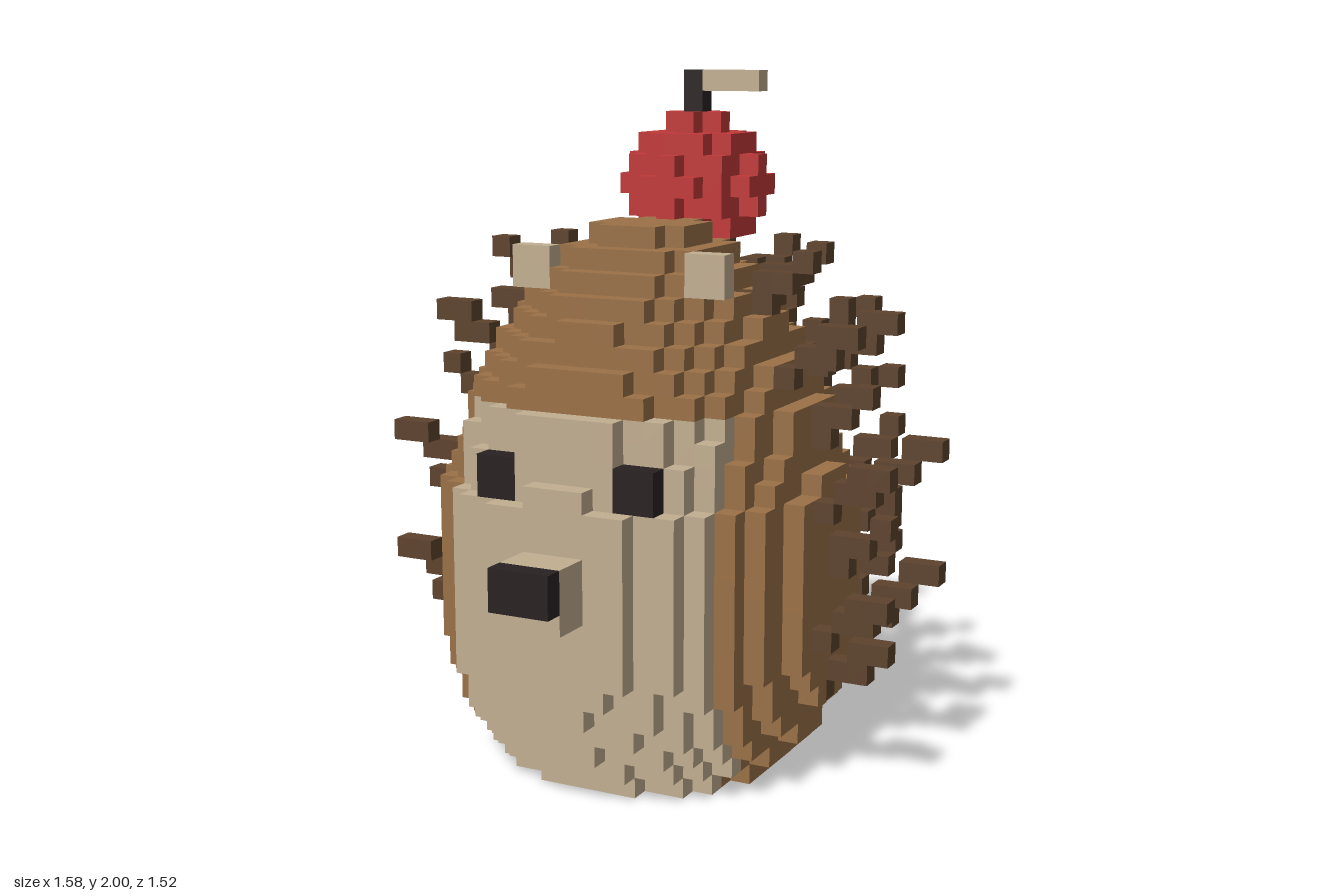
import * as THREE from 'three';

const S = 2 / 33; // cube size
const mat = (name, color) => Object.assign(new THREE.MeshStandardMaterial({ color }), { name });

export function createModel() {
  const brown = mat('fur brown', 0x9b7147);
  const cream = mat('cream', 0xc2af91);
  const dark = mat('spike brown', 0x5e432e);
  const red = mat('cherry red', 0xc23838);
  const black = mat('black', 0x292122);
  const materials = {
    body: brown, face: cream, muzzle: cream, ears: cream, nose: black, eyes: black,
    spikes: dark, cherry: red, stem: black, stemTip: cream,
  };

  // cubes are addressed by whole steps from the body's axis: x, row, z
  const cubes = new Map();
  const key = (x, y, z) => `${x},${y},${z}`;
  const put = (part, x, y, z) => cubes.set(key(x, y, z), { part, at: [x, y, z] });
  const fill = (part, x0, x1, y0, y1, z0, z1) => {
    for (let x = x0; x <= x1; x++)
      for (let y = y0; y <= y1; y++)
        for (let z = z0; z <= z1; z++) put(part, x, y, z);
  };

  // egg-shaped body, radius of each row from the ground up
  const radii = [6.5, 7.4, 8.2, 8.8, 9.1, 9.3, 9.5, 9.5, 9.5, 9.5, 9.5, 9.5, 9.5,
    9.5, 9.1, 8.9, 8.5, 8.3, 7.9, 7.4, 6.9, 6.3, 5.6, 4.8, 3.7, 2.4];

  // spikes: seven staggered rings round the back, each spike a stair rising outward;
  // the odd rings reach a little further forward and sit half a cube to the left
  for (let ring = 0; ring < 7; ring++) {
    const base = 4 + ring * 3, odd = ring % 2;
    const count = 7 + odd, start = odd ? -12 : 0;
    for (let k = 0; k < count; k++) {
      const a = THREE.MathUtils.degToRad(start + k * (180 - 2 * start) / (count - 1));
      for (let t = 0; t <= 3; t += 0.5) {
        const r = radii[base] + t + (odd ? 0.2 : -0.4);
        put('spikes', Math.round(r * Math.cos(a) + odd / 2), base + Math.round(t * 2 / 3), Math.round(-r * Math.sin(a)));
      }
    }
  }

  // body and the cream face patch on its front
  radii.forEach((r, y) => {
    for (let x = -9; x <= 9; x++)
      for (let z = -9; z <= 9; z++)
        if (x * x + z * z <= r * r && !cubes.has(key(x, y, z)))
          put(y < 18 && Math.abs(x) <= 6 && z >= 4 ? 'face' : 'body', x, y, z);
  });

  // muzzle, nose, eyes and ears
  fill('muzzle', -1, 1, 9, 11, 10, 11);
  fill('nose', -1, 1, 10, 11, 12, 12);
  fill('eyes', -4, -3, 14, 15, 8, 8);
  fill('eyes', 3, 4, 14, 15, 8, 8);
  fill('ears', -5, -4, 23, 24, 3, 3);
  fill('ears', 4, 5, 23, 24, 3, 3);

  // cherry on top with its stem
  for (let x = -3; x <= 3; x++)
    for (let y = -3; y <= 3; y++)
      for (let z = -3; z <= 3; z++)
        if (x * x + y * y + z * z <= 10) put('cherry', x, 27 + y, z - 5);
  fill('stem', 0, 0, 31, 32, -5, -5);
  fill('stemTip', 1, 3, 32, 32, -5, -5);

  // one mesh per part, made of the exposed cube faces only
  const group = new THREE.Group();
  const origin = [-1, 0, -0.5];
  const square = [[0, 0], [1, 0], [1, 1], [0, 1]];
  for (const [name, material] of Object.entries(materials)) {
    const pos = [], nor = [], idx = [];
    for (const { part, at } of cubes.values()) {
      if (part !== name) continue;
      for (let axis = 0; axis < 3; axis++) {
        for (const side of [-1, 1]) {
          const n = [0, 0, 0];
          n[axis] = side;
          if (cubes.has(key(at[0] + n[0], at[1] + n[1], at[2] + n[2]))) continue;
          const i = pos.length / 3;
          for (const [u, v] of square) {
            const c = [0, 0, 0];
            c[axis] = side > 0 ? 1 : 0;
            c[(axis + 1) % 3] = u;
            c[(axis + 2) % 3] = v;
            c.forEach((d, j) => pos.push((at[j] + origin[j] + d) * S));
            nor.push(...n);
          }
          if (side > 0) idx.push(i, i + 1, i + 2, i, i + 2, i + 3);
          else idx.push(i, i + 2, i + 1, i, i + 3, i + 2);
        }
      }
    }
    const geometry = new THREE.BufferGeometry();
    geometry.setAttribute('position', new THREE.Float32BufferAttribute(pos, 3));
    geometry.setAttribute('normal', new THREE.Float32BufferAttribute(nor, 3));
    geometry.setIndex(idx);
    const mesh = new THREE.Mesh(geometry, material);
    mesh.name = name;
    group.add(mesh);
  }
  return group;
}
